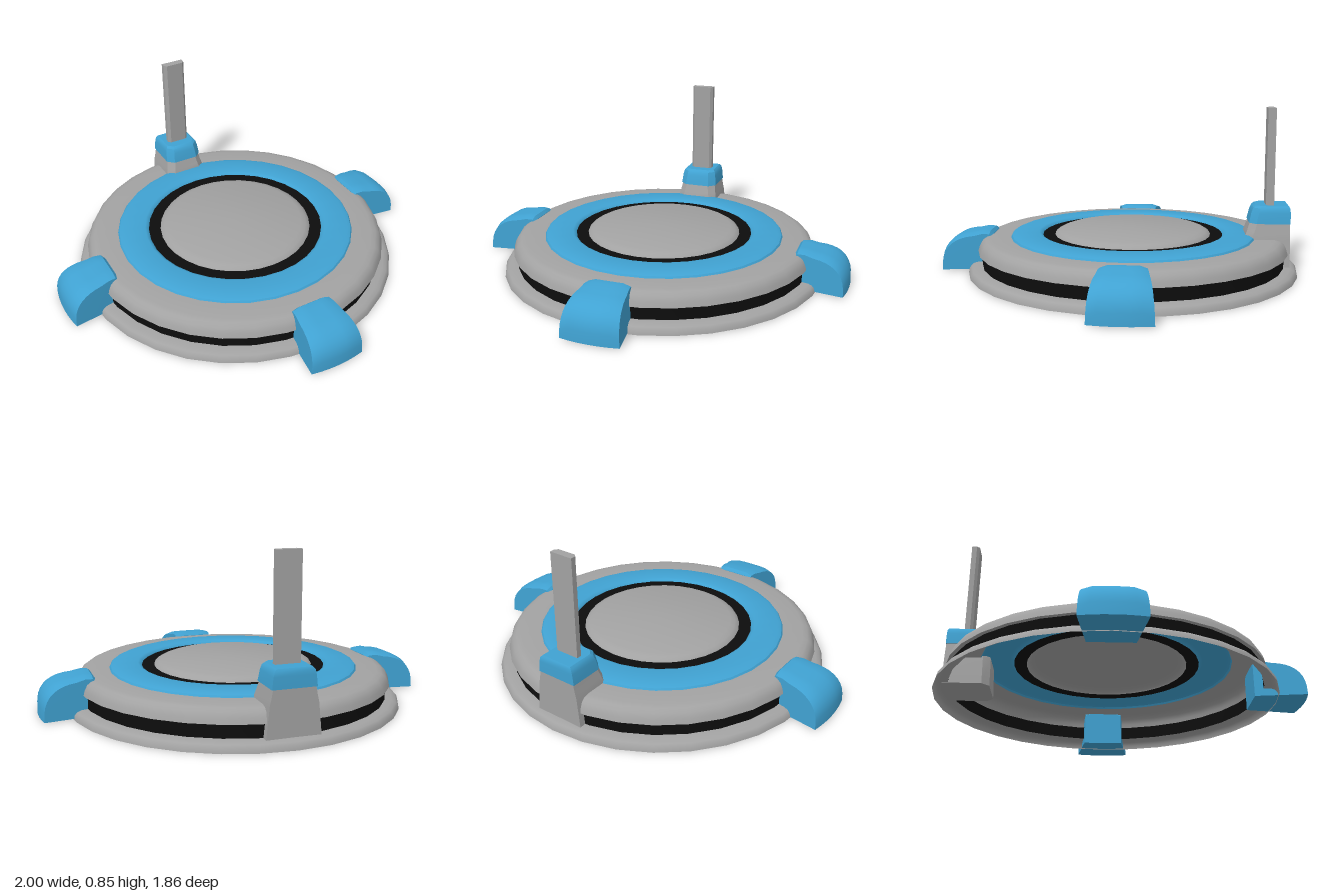
import * as THREE from 'three';
import { toCreasedNormals } from 'three/addons/utils/BufferGeometryUtils.js';

const CENTER_Z = -0.075; // axis of the round pad

function material(name, color, side = THREE.FrontSide) {
  const m = new THREE.MeshStandardMaterial({ color, side });
  m.name = name;
  return m;
}

// Stack of chamfered rectangles: [y, halfWidth, zBack, zFront, frontChamfer]
function loft(sections) {
  const rings = sections.map(([y, w, zb, zf, c]) => [
    [w, y, zb], [-w, y, zb], [-w, y, zf - c], [-w + c, y, zf], [w - c, y, zf], [w, y, zf - c],
  ]);
  const n = 6, pos = [];
  const tri = (a, b, c) => pos.push(...a, ...b, ...c);
  for (let k = 0; k < rings.length - 1; k++) {
    for (let i = 0; i < n; i++) {
      const j = (i + 1) % n, lo = rings[k], hi = rings[k + 1];
      tri(lo[i], lo[j], hi[j]);
      tri(lo[i], hi[j], hi[i]);
    }
  }
  const first = rings[0], last = rings[rings.length - 1];
  for (let i = 1; i < n - 1; i++) {
    tri(last[0], last[i], last[i + 1]);
    tri(first[0], first[i + 1], first[i]);
  }
  const g = new THREE.BufferGeometry();
  g.setAttribute('position', new THREE.Float32BufferAttribute(pos, 3));
  return toCreasedNormals(g, 0.5);
}

// Clamp foot: radial profile extruded, then widened outwards and bowed
function footGeometry() {
  const s = new THREE.Shape();
  s.moveTo(0.73, 0.004);
  s.lineTo(1.0, 0.004);
  s.lineTo(0.998, 0.06);
  s.bezierCurveTo(0.99, 0.14, 0.93, 0.184, 0.83, 0.19);
  s.lineTo(0.785, 0.2);
  s.lineTo(0.745, 0.198);
  s.lineTo(0.73, 0.182);
  s.closePath();
  const steps = 6;
  const g = new THREE.ExtrudeGeometry(s, { depth: 2, steps, bevelEnabled: false, curveSegments: 8 });
  const p = g.attributes.position;
  for (let i = 0; i < p.count; i++) {
    const r = p.getX(i), y = p.getY(i), t = p.getZ(i) - 1;
    const u = (r - 0.73) / 0.27;
    const edge = Math.abs(t) > 0.99;
    const half = 0.107 + 0.038 * u;
    // side edges drop a little so the upper corners read as rounded
    const drop = edge && y > 0.05 ? 0.012 : 0;
    p.setXYZ(i, r - 0.015 * t * t * u, y - drop, t * half * (1 - 0.25 * Math.max(0, y - 0.02)));
  }
  return toCreasedNormals(g, 0.6);
}

export function createModel() {
  const grey = material('grey', 0xa2a2a2, THREE.DoubleSide);
  const blue = material('blue', 0x40a2d2, THREE.DoubleSide);
  const black = material('black', 0x0d0d0d, THREE.DoubleSide);

  const model = new THREE.Group();
  model.name = 'roundPad';
  const add = (name, geometry, mat, parent = model) => {
    const mesh = new THREE.Mesh(geometry, mat);
    mesh.name = name;
    parent.add(mesh);
    return mesh;
  };

  // Round shell, open underneath, one lathe per coloured ring
  const pad = new THREE.Group();
  pad.name = 'pad';
  pad.position.z = CENTER_Z;
  model.add(pad);
  const ring = (name, profile, mat) => {
    const points = profile.map(([r, y]) => new THREE.Vector2(r, y));
    add(name, toCreasedNormals(new THREE.LatheGeometry(points, 32), 0.6), mat, pad);
  };
  ring('baseRim', [[0.856, 0], [0.852, 0.02], [0.84, 0.034], [0.82, 0.041], [0.785, 0.043]], grey);
  ring('sideBand', [[0.785, 0.043], [0.785, 0.11]], black);
  ring('upperRim', [[0.785, 0.11], [0.805, 0.111], [0.798, 0.135], [0.785, 0.16], [0.765, 0.174],
    [0.74, 0.18], [0.636, 0.18]], grey);
  ring('deckRing', [[0.636, 0.18], [0.63, 0.189], [0.61, 0.197], [0.49, 0.2], [0.478, 0.196], [0.47, 0.186]], blue);
  ring('innerBand', [[0.47, 0.186], [0.407, 0.186]], black);
  ring('centerPlate', [[0.407, 0.186], [0.402, 0.194], [0.385, 0.204], [0.36, 0.213], [0, 0.215]], grey);

  // Three clamp feet: front and both sides
  const foot = footGeometry();
  [['leftFoot', 0], ['frontFoot', -Math.PI / 2], ['rightFoot', Math.PI]].forEach(([name, angle]) => {
    add(name, foot, blue, pad).rotation.y = angle;
  });

  // Rear bracket, cap and upright post
  add('bracket', loft([
    [0.04, 0.13, -0.88, -0.652, 0.035],
    [0.19, 0.115, -0.88, -0.656, 0.035],
    [0.22, 0.108, -0.88, -0.667, 0.035],
    [0.262, 0.1, -0.88, -0.68, 0.035],
  ]), grey);
  add('bracketCap', loft([
    [0.26, 0.106, -0.882, -0.676, 0.035],
    [0.315, 0.1, -0.882, -0.688, 0.035],
    [0.338, 0.094, -0.881, -0.698, 0.032],
    [0.349, 0.084, -0.875, -0.712, 0.028],
  ]), blue);
  add('post', loft([
    [0.33, 0.061, -0.802, -0.762, 0.014],
    [0.846, 0.061, -0.802, -0.762, 0.014],
  ]), grey);

  return model;
}
